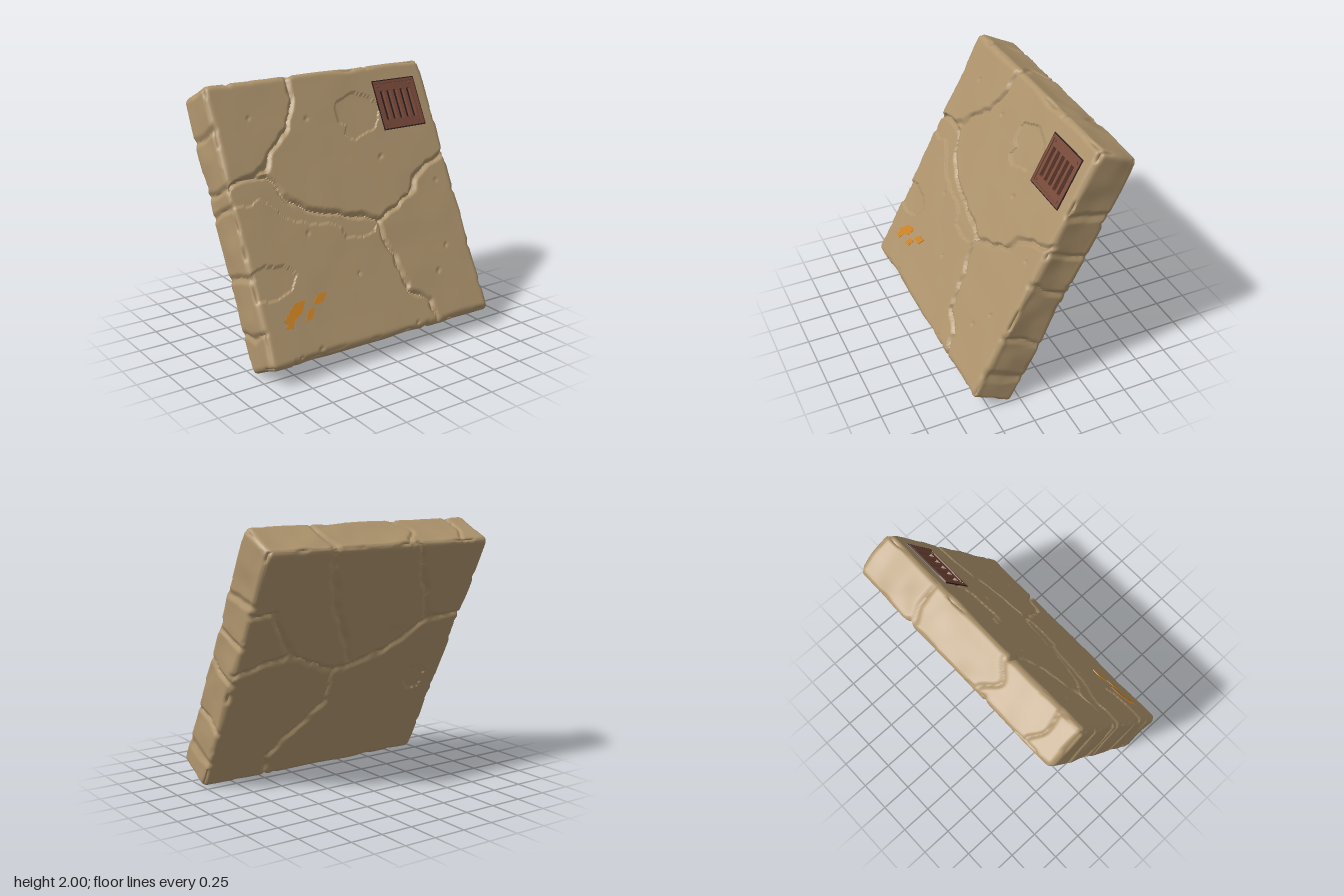
import * as THREE from 'three';
import { mergeVertices, toCreasedNormals } from 'three/addons/utils/BufferGeometryUtils.js';

const TILT = 0.475, W = 2.0, H = 2.105, D = 0.357;
const mat = (name, color, side = THREE.FrontSide) => {
  const m = new THREE.MeshStandardMaterial({ color, side });
  m.name = name;
  return m;
};

// Smooth value noise in -1..1
const hash = (i, j, k) => {
  const s = Math.sin(i * 127.1 + j * 311.7 + k * 74.7) * 43758.5453;
  return (s - Math.floor(s)) * 2 - 1;
};
function noise(x, y, z) {
  const i = Math.floor(x), j = Math.floor(y), k = Math.floor(z);
  const f = t => t * t * (3 - 2 * t), u = f(x - i), v = f(y - j), w = f(z - k);
  const L = THREE.MathUtils.lerp;
  const row = (b, c) => L(hash(i, b, c), hash(i + 1, b, c), u);
  return L(L(row(j, k), row(j + 1, k), v), L(row(j, k + 1), row(j + 1, k + 1), v), w);
}

// Distance to a polyline and point in polygon
function lineDist(x, y, pts) {
  let best = 9;
  for (let i = 0; i < pts.length - 1; i++) {
    const [ax, ay] = pts[i], dx = pts[i + 1][0] - ax, dy = pts[i + 1][1] - ay;
    const t = THREE.MathUtils.clamp(((x - ax) * dx + (y - ay) * dy) / (dx * dx + dy * dy), 0, 1);
    best = Math.min(best, Math.hypot(x - ax - t * dx, y - ay - t * dy));
  }
  return best;
}
function inside(x, y, pts) {
  let hit = false;
  for (let i = 0, j = pts.length - 1; i < pts.length; j = i++) {
    const [ax, ay] = pts[i], [bx, by] = pts[j];
    if ((ay > y) !== (by > y) && x < (bx - ax) * (y - ay) / (by - ay) + ax) hit = !hit;
  }
  return hit;
}

// Upright heights turned into heights along the tilted front; back laid out as fractions
const front = pts => pts.map(([x, y]) => [x, (y - 1.08) / 0.889]);
const back = pts => pts.map(([u, v]) => [0.96 - 1.92 * u, 1.02 - 2.04 * v]);

const mainCrack = front([[-0.8, 1.37], [-0.66, 1.37], [-0.6, 1.3], [-0.57, 1.22], [-0.4, 1.1], [-0.25, 1.05], [0, 1], [0.2, 0.94],
  [0.4, 1], [0.55, 1.07], [0.62, 1.17], [0.8, 1.25], [1.05, 1.33]]);
const frontCracks = [mainCrack,
  front([[-0.28, 2.05], [-0.28, 1.85], [-0.38, 1.66], [-0.47, 1.57], [-0.6, 1.5], [-0.66, 1.4], [-0.8, 1.37], [-1.05, 1.31]]),
  front([[0.18, 0.93], [0.2, 0.8], [0.25, 0.68], [0.29, 0.42], [0.46, 0.32], [0.5, 0.08]])];
const shelf = front([[-1.1, 1.2], [-0.85, 1.19], [-0.75, 1.22], [-0.68, 1.17], [-0.62, 1.1], [-0.5, 1.02], [-0.28, 0.98],
  [-0.15, 0.95], [-0.13, 0.86], [0, 0.84], [0.13, 0.86], [0.2, 0.94]])
  .concat(mainCrack.slice(0, 7).reverse(), front([[-1.1, 1.34]]));
const frontPatches = [shelf,
  front([[0.07, 1.72], [0.12, 1.79], [0.3, 1.83], [0.4, 1.78], [0.47, 1.72], [0.45, 1.62], [0.36, 1.55], [0.2, 1.5], [0.1, 1.54], [0.13, 1.6], [0.06, 1.65]]),
  front([[-1.1, 0.74], [-0.85, 0.8], [-0.7, 0.78], [-0.63, 0.7], [-0.68, 0.62], [-0.85, 0.57], [-1.1, 0.6]])];
const pits = front([[0.82, 1.7], [0.36, 1.35], [-0.45, 0.94], [0.75, 0.65], [0.3, 0.2], [-0.57, 0.21], [-0.75, 0.19], [0.83, 1.12],
  [-0.2, 1.7], [-0.1, 0.6], [0.6, 0.5], [-0.7, 1.75]]);
const backCracks = [
  [[-0.1, 0.24], [0.08, 0.24], [0.21, 0.43], [0.44, 0.53], [0.67, 0.46], [0.84, 0.33], [1.1, 0.32]],
  [[0.25, -0.05], [0.35, 0.23], [0.51, 0.49]], [[0.84, 0.33], [0.71, 0.08], [0.65, -0.05]],
  [[0.44, 0.53], [0.45, 0.67], [0.24, 0.91], [0.28, 1.1]], [[0.21, 0.43], [-0.1, 0.52]]].map(back);
const backPatch = back([[0.84, 0.57], [0.89, 0.56], [0.93, 0.6], [0.92, 0.67], [0.86, 0.68], [0.83, 0.63]]);

// Seams crossing the narrow faces
const seams = {
  left: [-0.81, -0.53, -0.07, 0.25, 0.54], right: [-0.75, -0.38, 0.14, 0.29, 0.72],
  top: [-0.8, -0.28, 0.43], bottom: [-0.76, 0.4],
};
const groove = (d, width, depth) => depth * Math.max(0, 1 - d / width);
const nearest = (v, list) => Math.min(...list.map(s => Math.abs(v - s)));

// Worn slab: a box rounded at the edges, then cracked and chipped
function slabGeometry() {
  let geo = new THREE.BoxGeometry(W, H, D, 156, 164, 22);
  geo.deleteAttribute('normal');
  geo.deleteAttribute('uv');
  geo = mergeVertices(geo, 1e-4);
  const pos = geo.attributes.position, p = new THREE.Vector3(), q = new THREE.Vector3(), n = new THREE.Vector3();
  for (let i = 0; i < pos.count; i++) {
    p.fromBufferAttribute(pos, i);
    const r = 0.055 + 0.02 * noise(p.x * 4, p.y * 4, p.z * 4);
    q.set(THREE.MathUtils.clamp(p.x, r - W / 2, W / 2 - r), THREE.MathUtils.clamp(p.y, r - H / 2, H / 2 - r),
      THREE.MathUtils.clamp(p.z, r - D / 2, D / 2 - r));
    n.subVectors(p, q).normalize();
    const wx = p.x + 0.016 * noise(p.x * 13, p.y * 13, 3), wy = p.y + 0.016 * noise(p.x * 13, p.y * 13, 8);
    const ragged = 0.024 + 0.011 * noise(p.x * 8, p.y * 8, 20);
    let cut = 0;
    if (n.z > 0) {
      let f = groove(Math.min(...frontCracks.map(c => lineDist(wx, wy, c))), ragged, 0.03);
      if (frontPatches.some(s => inside(wx, wy, s))) f += 0.012;
      for (const [a, b] of pits) f += groove(Math.hypot(wx - a, wy - b), 0.022, 0.014);
      if (Math.abs(p.x - 0.67) < 0.18 && Math.abs(p.y - 0.705) < 0.18) f += 0.07;
      cut += f * n.z;
    } else if (n.z < 0) {
      const d = Math.min(...backCracks.map(c => lineDist(wx, wy, c)));
      cut -= (groove(d, ragged + 0.008, 0.025) + (inside(wx, wy, backPatch) ? 0.012 : 0)) * n.z;
    }
    const bend = 0.08 * noise(p.z * 7, p.x * 3, p.y * 3);
    cut += Math.abs(n.x) * groove(nearest(p.y + bend, p.x > 0 ? seams.left : seams.right), 0.035, 0.02);
    cut += Math.abs(n.y) * groove(nearest(p.x + bend, p.y > 0 ? seams.top : seams.bottom), 0.03, 0.015);
    // chips along the rims
    const rim = 1 - Math.max(Math.abs(n.x), Math.abs(n.y), Math.abs(n.z));
    const chip = Math.max(0, noise(p.x * 10 + 5, p.y * 10, p.z * 10) - 0.1);
    cut += rim * chip * 0.11 + (1 - Math.abs(n.z)) * 0.01 * (1 + noise(p.x * 6, p.y * 6, p.z * 6));
    cut += 0.003 * noise(p.x * 5, p.y * 5, p.z * 5);
    p.copy(q).addScaledVector(n, r - cut);
    p.x *= 1 - 0.009 * p.y;
    pos.setXYZ(i, p.x, p.y, p.z);
  }
  return toCreasedNormals(geo, 0.85);
}

export function createModel() {
  const stone = mat('sandstone', 0xae946d), rust = mat('rusty metal', 0x784a39);
  const dark = mat('dark recess', 0x2b1c20), orange = mat('orange paint', 0xce8425, THREE.DoubleSide);
  const root = new THREE.Group(), body = new THREE.Group();
  root.name = 'crackedSlab';
  body.name = 'tiltedSlab';
  root.add(body);
  const add = (name, geo, material, x = 0, y = 0, z = 0, parent = body) => {
    const m = new THREE.Mesh(geo, material);
    m.name = name;
    m.position.set(x, y, z);
    parent.add(m);
    return m;
  };
  add('stoneSlab', slabGeometry(), stone);

  // Vent set into the upper corner, nearly flush with the stone
  const vent = new THREE.Group();
  vent.name = 'vent';
  vent.position.set(0.67, 0.705, D / 2);
  body.add(vent);
  const rect = (w, h, x = 0, y = 0, C = THREE.Path) => new C([[-1, -1], [1, -1], [1, 1], [-1, 1]]
    .map(([a, b]) => new THREE.Vector2(x + a * w / 2, y + b * h / 2)));
  const extrude = (shape, depth) => new THREE.ExtrudeGeometry(shape, { depth, bevelEnabled: false });
  const frame = (w, h, iw, ih) => {
    const s = rect(w, h, 0, 0, THREE.Shape);
    s.holes.push(rect(iw, ih));
    return s;
  };
  const plate = rect(0.37, 0.37, 0, 0, THREE.Shape);
  for (let i = -2; i <= 2; i++) plate.holes.push(rect(0.038, 0.235, i * 0.065, -0.002));
  add('ventPlate', extrude(plate, 0.03), rust, 0, 0, -0.03, vent);
  add('ventRim', extrude(frame(0.392, 0.385, 0.35, 0.345), 0.03), rust, 0, 0, -0.022, vent);
  add('ventGap', extrude(frame(0.408, 0.402, 0.388, 0.381), 0.009), dark, 0, 0, -0.004, vent);
  add('ventBacking', new THREE.BoxGeometry(0.36, 0.36, 0.008), dark, 0, 0, -0.04, vent);
  for (const x of [-1, 1]) for (const y of [-1, 1]) {
    const bolt = add('ventBolt', new THREE.CylinderGeometry(0.01, 0.012, 0.01, 8), rust, x * 0.155, y * 0.155, 0.003, vent);
    bolt.rotation.x = Math.PI / 2;
  }

  // Worn paint strokes
  const strokes = [
    [[-0.83, 0.38], [-0.76, 0.375], [-0.74, 0.42], [-0.66, 0.46], [-0.61, 0.535], [-0.71, 0.52], [-0.82, 0.43], [-0.79, 0.41]],
    [[-0.65, 0.4], [-0.59, 0.405], [-0.55, 0.47], [-0.61, 0.46]],
    [[-0.56, 0.49], [-0.47, 0.49], [-0.42, 0.55], [-0.5, 0.545]]];
  for (const s of strokes) {
    const shape = new THREE.Shape(front(s).map(([x, y]) => new THREE.Vector2(x, y)));
    add('paintStroke', extrude(shape, 0.007), orange, 0, 0, D / 2 - 0.003);
  }

  // Lean back, lowest edge on the ground
  body.rotation.x = -TILT;
  body.position.y = 0.998;
  return root;
}
